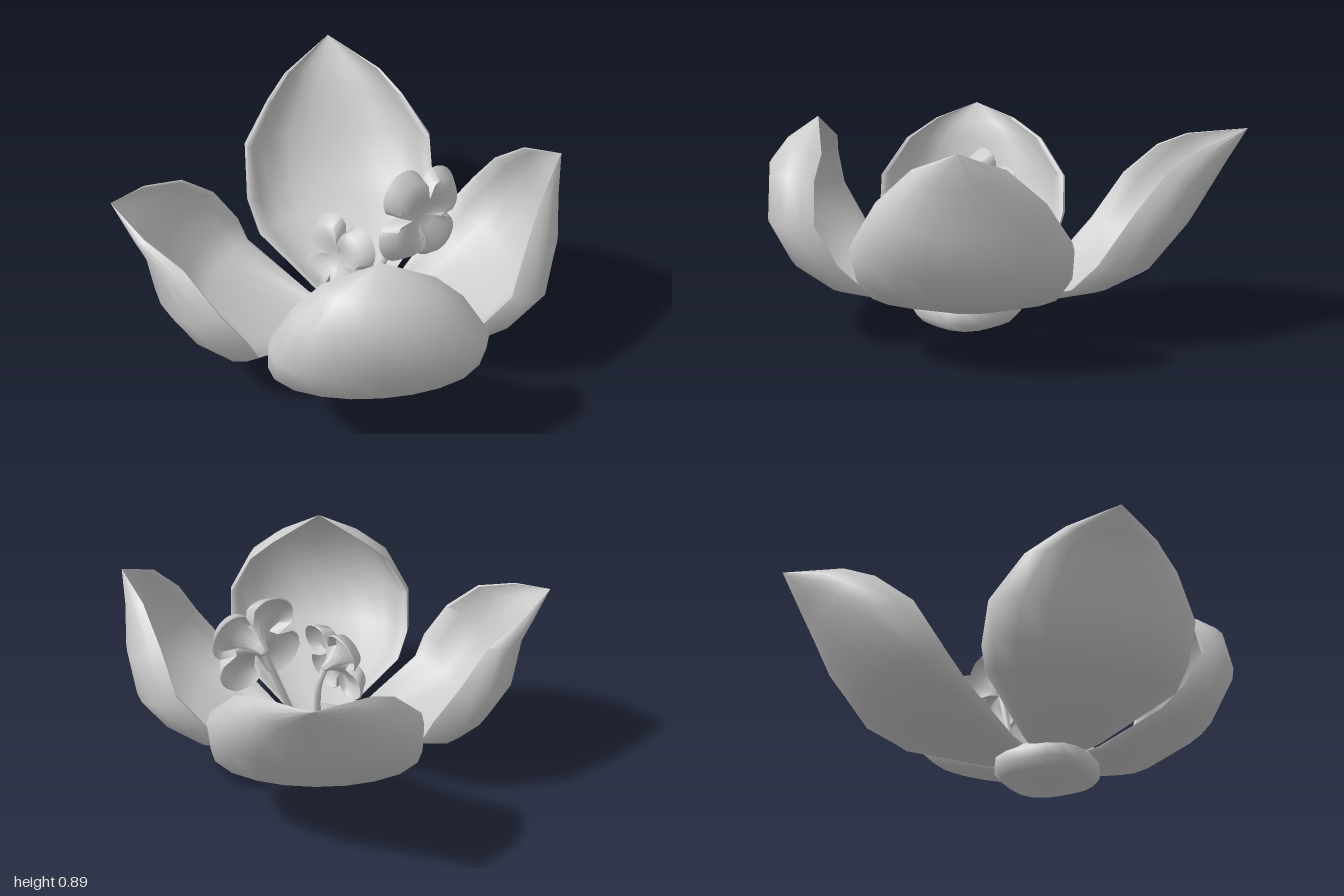
import * as THREE from 'three';
import { toCreasedNormals } from 'three/addons/utils/BufferGeometryUtils.js';

const material = new THREE.MeshStandardMaterial({ color: 0xcccccc });

function addMesh(parent, name, geometry) {
  const mesh = new THREE.Mesh(geometry, material);
  mesh.name = name;
  parent.add(mesh);
  return mesh;
}

// Half section of a petal as [side, depth]: outer keel, wall, rolled rim, inner keel
const outerHalf = [[0, 0], [0.28, 0.03], [0.54, 0.12], [0.78, 0.28], [0.95, 0.53], [1, 0.78], [0.98, 1]];
const innerHalf = [[0.93, 0.98], [0.87, 0.75], [0.72, 0.42], [0.5, 0.24], [0.26, 0.16], [0, 0.14]];
const half = [...outerHalf, ...innerHalf];
const section = [...half, ...half.slice(1, -1).reverse().map(([s, d]) => [-s, d])];

// Thick cupped petal growing along +z.
// Each row: keel distance, keel height, margin distance, margin height, half width.
function petalGeometry(rows) {
  const loop = section.length;
  const positions = [], index = [];
  for (const [rc, yc, re, ye, width] of rows) {
    for (const [side, depth] of section) {
      positions.push(side * width, yc + (ye - yc) * depth, rc + (re - rc) * depth);
    }
  }
  for (let j = 0; j < rows.length - 1; j++) {
    for (let i = 0; i < loop; i++) {
      const k = (i + 1) % loop;
      const a = j * loop + i, b = j * loop + k, c = a + loop, d = b + loop;
      index.push(a, b, c);
      if (j < rows.length - 2) index.push(b, d, c);
    }
  }
  const geometry = new THREE.BufferGeometry();
  geometry.setAttribute('position', new THREE.Float32BufferAttribute(positions, 3));
  geometry.setIndex(index);
  return toCreasedNormals(geometry, 1.1);
}

// Lathe with its radius modulated around the axis
function modulatedLathe(profile, segments, factor) {
  const geometry = new THREE.LatheGeometry(profile.map(p => new THREE.Vector2(...p)), segments);
  const pos = geometry.attributes.position;
  for (let i = 0; i < pos.count; i++) {
    const x = pos.getX(i), z = pos.getZ(i);
    const f = factor(Math.atan2(x, z), Math.hypot(x, z));
    pos.setX(i, x * f);
    pos.setZ(i, z * f);
  }
  return toCreasedNormals(geometry, 1.1);
}

// Small four-lobed blossom on a curved stem
function addBlossom(parent, name, { root, bend, centre, facing, size, roll }) {
  const group = new THREE.Group();
  group.name = name;
  parent.add(group);
  const normal = new THREE.Vector3(...facing).normalize();
  const middle = new THREE.Vector3(...centre);

  // Funnel, back of the lobes, rim, front
  const profile = [
    [0, -0.11], [0.016, -0.1], [0.024, -0.07], [0.05, -0.035], [0.1, -0.005],
    [0.16, -0.005], [0.195, -0.045], [0.2, -0.04], [0.16, 0.015], [0.1, 0.015], [0.05, -0.008], [0, -0.02]
  ];
  const head = addMesh(group, name + 'Head', modulatedLathe(profile, 48, (angle, r) => {
    const lobe = 0.45 + 0.55 * Math.pow(Math.abs(Math.cos(2 * angle)), 0.4);
    return 1 + (lobe - 1) * THREE.MathUtils.smoothstep(r, 0.03, 0.15);
  }));
  head.scale.setScalar(size);
  head.position.copy(middle);
  const axisX = new THREE.Vector3(0, 1, 0).cross(normal).normalize();
  const axisZ = axisX.clone().cross(normal);
  head.quaternion.setFromRotationMatrix(new THREE.Matrix4().makeBasis(axisX, normal, axisZ));
  head.rotateY(roll);

  const end = middle.clone().addScaledVector(normal, -0.09 * size);
  const curve = new THREE.CatmullRomCurve3([new THREE.Vector3(...root), new THREE.Vector3(...bend), end]);
  addMesh(group, name + 'Stem', new THREE.TubeGeometry(curve, 10, 0.015, 8));
}

export function createModel() {
  const model = new THREE.Group();
  model.name = 'flower';
  const bloom = new THREE.Group();
  bloom.name = 'bloom';
  bloom.position.set(0.07, 0, 0.17);
  model.add(bloom);

  // Rounded base, slightly drawn out towards the petals
  const base = addMesh(bloom, 'base', modulatedLathe(
    [[0, 0], [0.19, 0.005], [0.22, 0.04], [0.215, 0.09], [0.19, 0.12], [0, 0.09]],
    20, angle => 1 + 0.06 * Math.cos(4 * angle)
  ));
  base.position.set(-0.015, 0, 0.005);

  // Four large petals sharing the same narrow neck: angle, x shift, z shift, rows
  const neck = [[0.03, 0.08, 0.03, 0.1, 0.04], [0.24, 0.1, 0.19, 0.135, 0.17]];
  const petals = {
    frontPetal: [0, 0.015, 0, [
      [0.58, 0.21, 0.4, 0.25, 0.38], [0.74, 0.32, 0.49, 0.35, 0.425], [0.83, 0.49, 0.58, 0.52, 0.425],
      [0.82, 0.71, 0.59, 0.68, 0.33], [0.75, 0.8, 0.575, 0.77, 0.22], [0.62, 0.89, 0.62, 0.89, 0]]],
    leftPetal: [Math.PI / 2, 0, -0.015, [
      [0.59, 0.22, 0.39, 0.25, 0.38], [0.71, 0.29, 0.46, 0.35, 0.425], [0.8, 0.4, 0.58, 0.5, 0.43],
      [0.835, 0.575, 0.645, 0.665, 0.33], [0.83, 0.75, 0.73, 0.81, 0.18], [0.84, 0.89, 0.84, 0.89, 0]]],
    backPetal: [Math.PI, 0, 0, [
      [0.63, 0.22, 0.44, 0.25, 0.39], [0.785, 0.29, 0.54, 0.36, 0.43], [0.94, 0.48, 0.68, 0.57, 0.425],
      [1.02, 0.61, 0.82, 0.72, 0.31], [1.08, 0.71, 0.94, 0.785, 0.22], [1.17, 0.845, 1.17, 0.845, 0]]],
    rightPetal: [-Math.PI / 2, 0, 0.01, [
      [0.66, 0.22, 0.44, 0.27, 0.4], [0.76, 0.29, 0.48, 0.37, 0.43], [0.85, 0.44, 0.58, 0.52, 0.43],
      [0.88, 0.63, 0.71, 0.67, 0.32], [0.92, 0.7, 0.86, 0.74, 0.19], [0.99, 0.795, 0.99, 0.795, 0]]]
  };
  for (const [name, [angle, x, z, rows]] of Object.entries(petals)) {
    const petal = addMesh(bloom, name, petalGeometry([...neck, ...rows]));
    petal.rotation.y = angle;
    petal.position.set(x, 0, z);
  }

  // Two inner blossoms
  addBlossom(model, 'tallBlossom', {
    root: [0.13, 0.09, 0.06], bend: [0.23, 0.36, 0.04], centre: [0.365, 0.58, 0.115],
    facing: [0.56, 0.15, 0.83], size: 1.18, roll: Math.PI / 6
  });
  addBlossom(model, 'shortBlossom', {
    root: [0.08, 0.09, 0.15], bend: [0.075, 0.35, 0.12], centre: [-0.02, 0.45, 0.2],
    facing: [-0.72, 0.25, 0.6], size: 1, roll: Math.PI / 4
  });
  return model;
}
